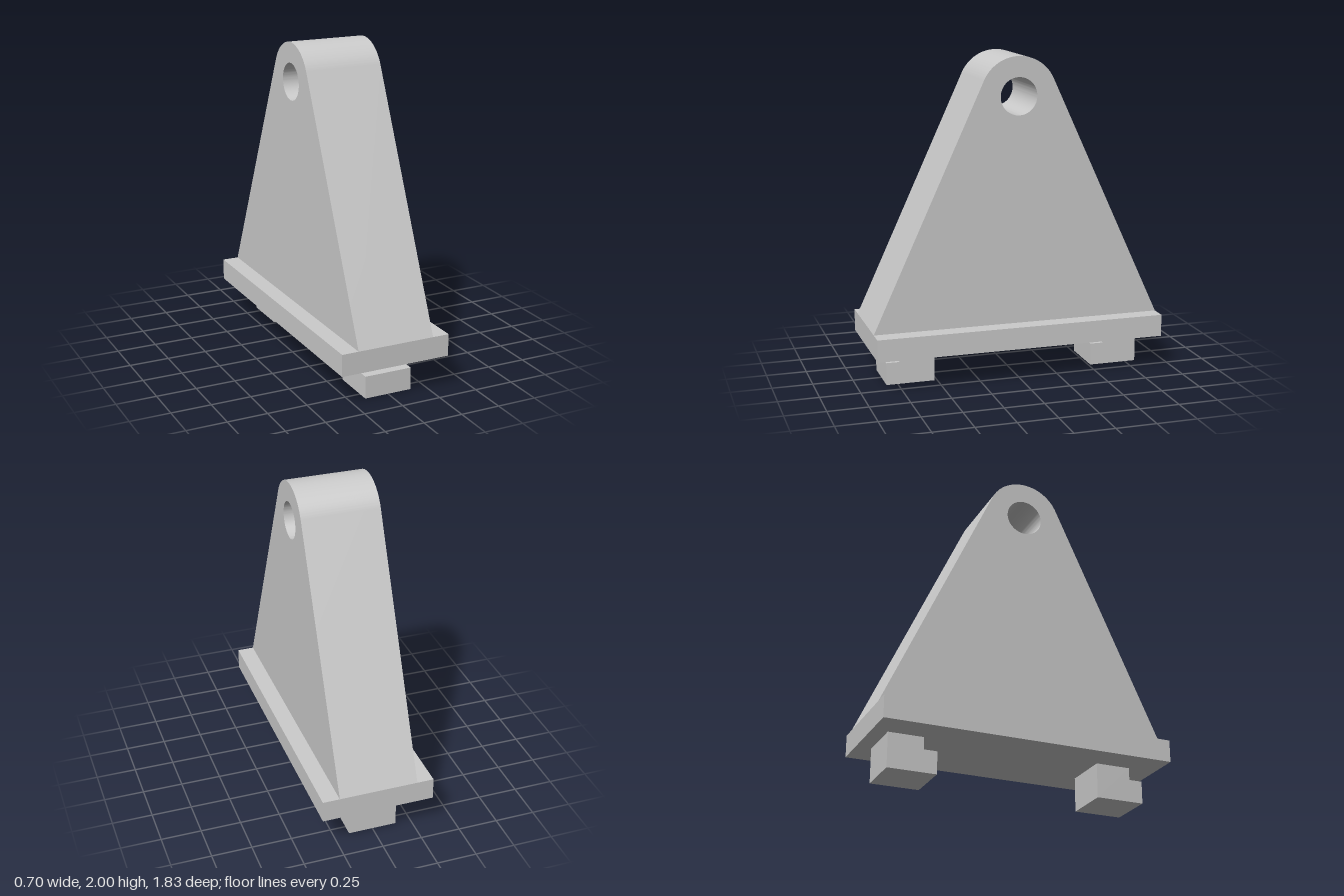
import * as THREE from 'three';
import { toCreasedNormals } from 'three/addons/utils/BufferGeometryUtils.js';

const material = new THREE.MeshStandardMaterial({ color: 0xcccccc });

// Extrudes a side profile drawn as (z, y) to a width centred on x = 0.
function sidePlate(name, shape, width) {
  const extruded = new THREE.ExtrudeGeometry(shape, { depth: width, bevelEnabled: false, curveSegments: 48 });
  extruded.translate(0, 0, -width / 2).rotateY(-Math.PI / 2);
  const mesh = new THREE.Mesh(toCreasedNormals(extruded, 0.35), material);
  mesh.name = name;
  return mesh;
}

export function createModel() {
  const group = new THREE.Group();
  group.name = 'pivotBracket';

  const halfLength = 0.913, plateBottom = 0.215, plateTop = 0.353;

  // Base plate
  const plate = new THREE.Mesh(new THREE.BoxGeometry(0.705, plateTop - plateBottom, halfLength * 2), material);
  plate.name = 'basePlate';
  plate.position.y = (plateTop + plateBottom) / 2;
  group.add(plate);

  // Tapered upright: straight flanks tangent to a rounded top, with a pin hole
  const eyeY = 1.759, eyeRadius = 0.241, holeRadius = 0.115;
  const drop = eyeY - plateTop;
  const tangent = Math.acos(eyeRadius / Math.hypot(halfLength, drop)) - Math.atan2(drop, halfLength);
  const upright = new THREE.Shape();
  upright.moveTo(-halfLength, plateTop);
  upright.lineTo(halfLength, plateTop);
  upright.absarc(0, eyeY, eyeRadius, tangent, Math.PI - tangent, false);
  upright.closePath();
  const hole = new THREE.Path();
  hole.absarc(0, eyeY, holeRadius, 0, Math.PI * 2, true);
  upright.holes.push(hole);
  group.add(sidePlate('upright', upright, 0.494));

  // Two L-shaped hooks under the plate, both with the toe towards the front
  const hook = new THREE.Shape([
    [-0.152, 0], [0.152, 0], [0.152, 0.14], [0.068, 0.14], [0.068, plateBottom], [-0.152, plateBottom],
  ].map(([z, y]) => new THREE.Vector2(z, y)));
  for (const [name, z] of [['frontHook', 0.668], ['backHook', -0.666]]) {
    const mesh = sidePlate(name, hook, 0.304);
    mesh.position.z = z;
    group.add(mesh);
  }

  return group;
}
